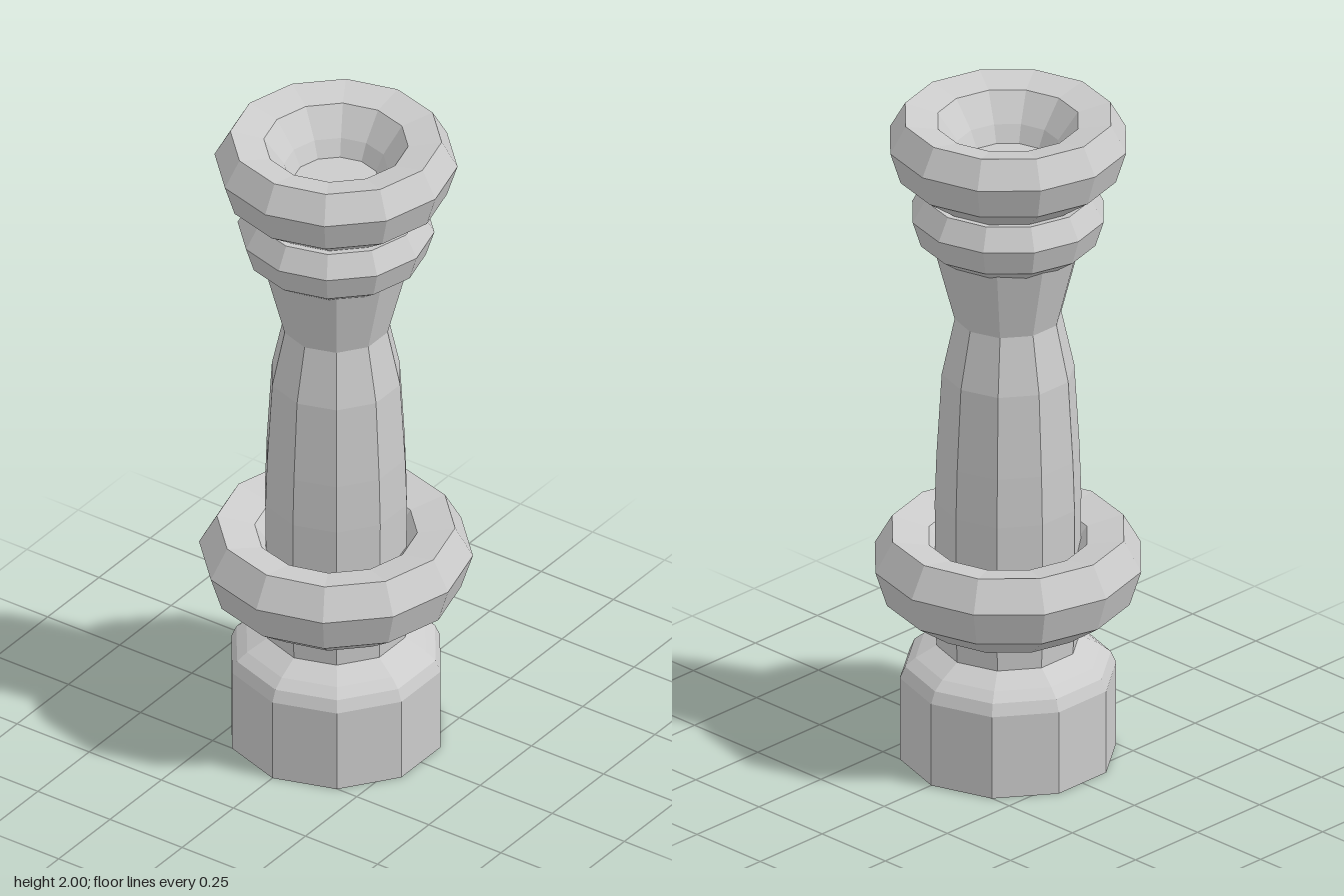
import * as THREE from 'three';

const material = new THREE.MeshStandardMaterial({ color: 0xcccccc, flatShading: true });

// Faceted turned part from [radius, height] pairs, listed up the outside
function turned(name, profile, sides) {
  const points = profile.map(([r, y]) => new THREE.Vector2(r, y));
  const mesh = new THREE.Mesh(new THREE.LatheGeometry(points, sides), material);
  mesh.name = name;
  return mesh;
}

// Closed ring section, heights measured down from its top
const ringProfile = [
  [0.217, -0.245], [0.315, -0.175], [0.345, -0.08], [0.30, 0],
  [0.205, -0.02], [0.147, -0.1], [0.115, -0.17], [0.14, -0.225], [0.217, -0.245],
];

function ring(name, top, scale) {
  const mesh = turned(name, ringProfile, 12);
  mesh.scale.setScalar(scale);
  mesh.position.y = top;
  return mesh;
}

export function createModel() {
  const group = new THREE.Group();
  group.name = 'turnedPillar';

  // Hollowed foot, neck, swelling shaft and flared top in one profile
  group.add(turned('shaftAndFoot', [
    [0, 0.11], [0.13, 0.11], [0.31, 0], [0.31, 0.255], [0.295, 0.29], [0.265, 0.315],
    [0.205, 0.35], [0.208, 0.42], [0.21, 0.8], [0.205, 0.95], [0.19, 1.2],
    [0.153, 1.37], [0.213, 1.6], [0.2, 1.76], [0.17, 1.85], [0, 1.85],
  ], 10));

  // Three rings of one section at different sizes
  group.add(
    ring('lowerCollar', 0.7, 1.127),
    ring('upperCollar', 1.76, 0.81),
    ring('crownRing', 2, 1),
  );
  return group;
}
